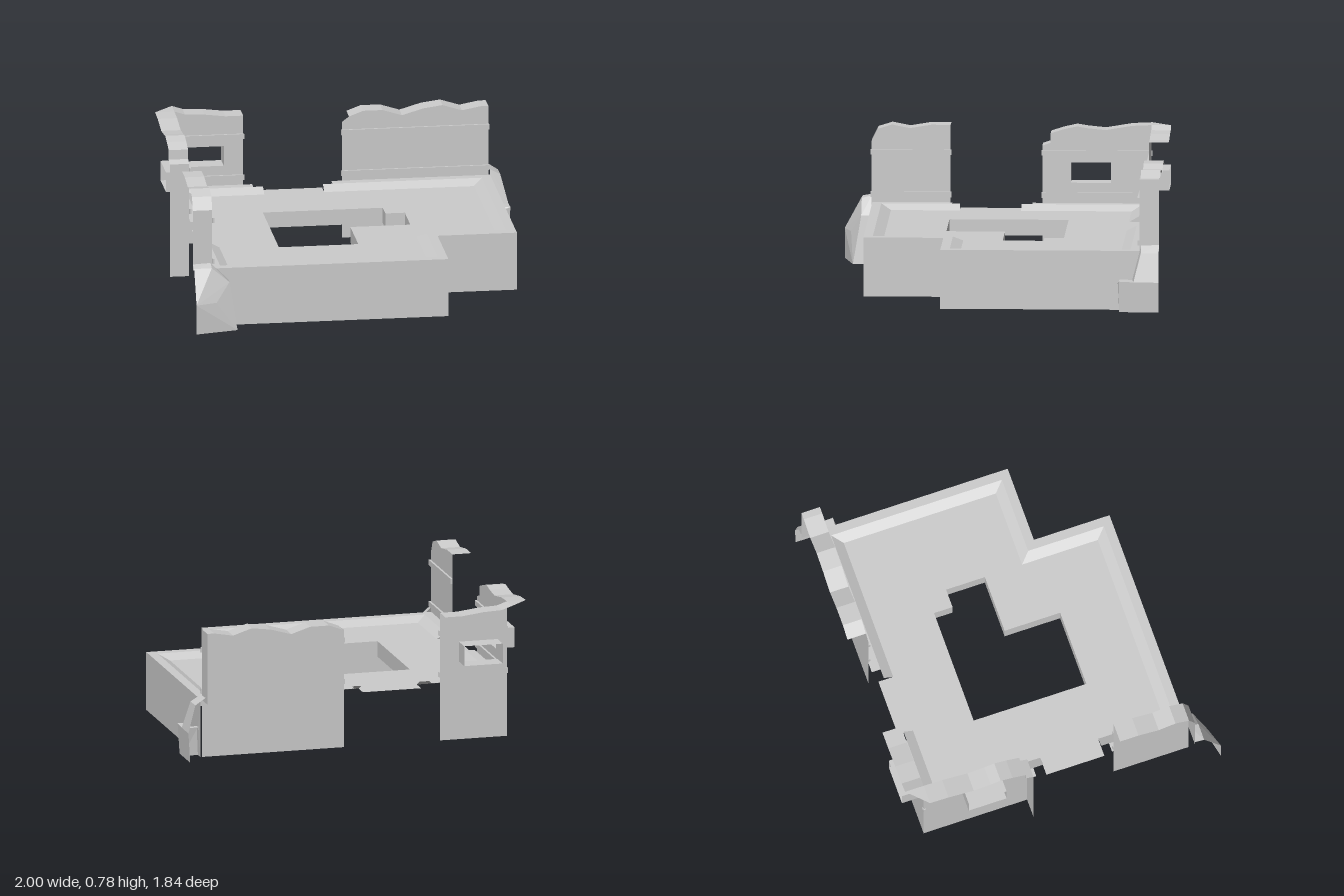
import * as THREE from 'three';
import { ConvexGeometry } from 'three/addons/geometries/ConvexGeometry.js';

const material = new THREE.MeshStandardMaterial({ color: 0xcccccc, flatShading: true, side: THREE.DoubleSide });
const RIM = 0.335, FLOOR = 0.305, THICK = 0.11;

function add(group, name, geometry) {
  const mesh = new THREE.Mesh(geometry, material);
  mesh.name = name;
  group.add(mesh);
  return mesh;
}

// Strip of quads between two lines of [x, y, z] points
function ribbon(a, b) {
  const pos = [];
  for (let i = 0; i + 1 < a.length; i++) {
    pos.push(...a[i], ...b[i], ...b[i + 1], ...a[i], ...b[i + 1], ...a[i + 1]);
  }
  const g = new THREE.BufferGeometry();
  g.setAttribute('position', new THREE.Float32BufferAttribute(pos, 3));
  g.computeVertexNormals();
  return g;
}

const path2 = (pts) => pts.map(([x, y]) => new THREE.Vector2(x, y));
const atHeight = (pts, y) => pts.map(([x, z]) => [x, y, z]);

// Thin ruined wall: inner face at local z = 0, broken top folding back to -THICK
function ruinedWall(name, { tops, window, end, endFrom = 0, capStart = 0 }) {
  const wall = new THREE.Group();
  wall.name = name;
  const u0 = tops[0][0], u1 = tops[tops.length - 1][0];
  const shape = new THREE.Shape(path2([[u0, 0], ...tops, [u1, 0]]));
  if (window) {
    const [a, b] = window, lo = 0.45, hi = 0.565;
    const loop = [[a, lo], [a, hi], [b, hi], [b, lo], [a, lo]];
    shape.holes.push(new THREE.Path(path2(loop.slice(0, 4))));
    add(wall, 'windowReveal', ribbon(loop.map(([u, y]) => [u, y, 0]), loop.map(([u, y]) => [u, y, -THICK])));
  }
  add(wall, 'wallFace', new THREE.ShapeGeometry(shape));
  const cap = tops.slice(capStart);
  add(wall, 'brokenTop', ribbon(cap.map(([u, y]) => [u, y, 0]), cap.map(([u, y]) => [u, y, -THICK])));
  if (end !== undefined) {
    const y = tops.find(([u]) => u === end)[1];
    add(wall, 'wallEnd', ribbon([[end, endFrom, 0], [end, y, 0]], [[end, endFrom, -THICK], [end, y, -THICK]]));
  }
  // Two string courses along the inner face
  for (const y of [0.38, 0.62]) {
    add(wall, 'ledge', new THREE.BoxGeometry(u1 - u0 + 0.01, 0.03, 0.012))
      .position.set((u0 + u1) / 2, y, 0.006);
  }
  return wall;
}

// Convex lump of rubble, left open on the hidden sides
function rubble(points, openSides) {
  const src = new ConvexGeometry(points.map((p) => new THREE.Vector3(...p)));
  const p = src.getAttribute('position'), n = src.getAttribute('normal'), kept = [];
  for (let i = 0; i < p.count; i += 3) {
    const normal = new THREE.Vector3().fromBufferAttribute(n, i);
    if (openSides.some((s) => normal.dot(new THREE.Vector3(...s)) > 0.98)) continue;
    for (let k = i; k < i + 3; k++) kept.push(p.getX(k), p.getY(k), p.getZ(k));
  }
  const g = new THREE.BufferGeometry();
  g.setAttribute('position', new THREE.Float32BufferAttribute(kept, 3));
  g.computeVertexNormals();
  return g;
}

export function createModel() {
  const model = new THREE.Group();
  model.name = 'ruinedBuilding';

  // Outer edge, inset by d, interrupted by the two doorways
  const longEdge = (d, x0, z1) => [[x0, -0.81 + d], [0.9 - d, -0.81 + d], [0.9 - d, 0.31 - d],
    [0.45 - d, 0.31 - d], [0.45 - d, 0.76 - d], [-0.89 + d, 0.76 - d], [-0.89 + d, z1]];
  const cornerEdge = (d, z0, x1) => [[-0.89 + d, z0], [-0.89 + d, -0.81 + d], [x1, -0.81 + d]];
  const A = 0.052, B = 0.108;

  // Raised rim and the slope down to the floor
  const edges = [
    [longEdge, 0, 0.31, -0.055, 0.265],
    [cornerEdge, -0.14, -0.45, -0.08, -0.395],
  ];
  for (const [edge, r0, r1, s0, s1] of edges) {
    add(model, 'floorRim', ribbon(atHeight(edge(0, r0, r1), RIM), atHeight(edge(A, r0, r1), RIM)));
    add(model, 'floorSlope', ribbon(atHeight(edge(A, s0, s1), RIM), atHeight(edge(B, s0, s1), FLOOR)));
  }

  // Floor with doorway tongues and a stepped opening
  const outline = [...longEdge(B, -0.055, 0.265), [-0.89, 0.265], [-0.89, -0.08],
    ...cornerEdge(B, -0.08, -0.395), [-0.395, -0.79], [-0.055, -0.79]];
  const opening = [[-0.45, -0.36], [0.23, -0.36], [0.23, -0.25], [0.34, -0.25],
    [0.34, -0.02], [0, -0.02], [0, 0.31], [-0.45, 0.31]];
  const flip = (pts) => path2(pts.map(([x, z]) => [x, -z]));
  const floor = new THREE.Shape(flip(outline));
  floor.holes.push(new THREE.Path(flip(opening)));
  add(model, 'floor', new THREE.ShapeGeometry(floor).rotateX(-Math.PI / 2).translate(0, FLOOR, 0));
  const loop = [...opening, opening[0]];
  add(model, 'openingSides', ribbon(atHeight(loop, FLOOR), atHeight(loop, FLOOR - 0.09)));

  // Foundation walls around the front and right
  const skirt = longEdge(0, 0, 0).slice(1, 6);
  add(model, 'foundation', ribbon(atHeight(skirt, RIM), atHeight(skirt, 0)));

  // Back walls
  const backs = [
    ruinedWall('backWall', {
      tops: [[0.06, 0.68], [0.1, 0.71], [0.18, 0.74], [0.29, 0.74], [0.4, 0.705], [0.52, 0.74],
        [0.63, 0.755], [0.74, 0.72], [0.85, 0.74], [0.89, 0.74]],
      end: 0.89, endFrom: 0.33, capStart: 1,
    }),
    ruinedWall('backCornerWall', {
      tops: [[-0.89, 0.78], [-0.83, 0.76], [-0.72, 0.755], [-0.6, 0.74], [-0.5, 0.74]],
      window: [-0.835, -0.61],
    }),
  ];
  for (const wall of backs) {
    wall.position.z = -0.81;
    model.add(wall);
  }

  // Side walls, drawn along -z and turned to face inward
  const sides = [
    ruinedWall('sideCornerWall', {
      tops: [[0.195, 0.66], [0.24, 0.675], [0.242, 0.73], [0.32, 0.755], [0.39, 0.77], [0.45, 0.76],
        [0.55, 0.75], [0.7, 0.775], [0.81, 0.78]],
      window: [0.355, 0.58], end: 0.195,
    }),
    ruinedWall('sideFrontWall', {
      tops: [[-0.765, 0.68], [-0.73, 0.75], [-0.65, 0.775], [-0.55, 0.755], [-0.43, 0.775], [-0.32, 0.775]],
      end: -0.765, endFrom: 0.33,
    }),
  ];
  for (const wall of sides) {
    wall.rotation.y = Math.PI / 2;
    wall.position.x = -0.89;
    model.add(wall);
  }

  // Chamfered top where the two corner walls meet
  add(model, 'cornerTop', ribbon([[-0.89, 0.78, -0.81], [-0.89, 0.78, -0.81]],
    [[-0.89, 0.78, -0.92], [-1, 0.78, -0.81]]));

  // Rubble buttresses at the wall ends
  add(model, 'frontRubble', rubble([
    [-1, 0.365, 0.765], [-0.9, 0.37, 0.765], [-1, 0.355, 0.82], [-0.9, 0.355, 0.82],
    [-0.8, 0.27, 0.765], [-0.8, 0.27, 0.82], [-1, 0.17, 0.92], [-0.88, 0.17, 0.88],
    [-1, 0, 0.92], [-0.88, 0, 0.88], [-0.76, 0, 0.865], [-0.76, 0, 0.765], [-1, 0, 0.765],
  ], [[0, -1, 0], [-1, 0, 0], [0, 0, -1]]));
  add(model, 'backRubble', rubble([
    [0.9, 0.37, -0.92], [0.9, 0.365, -0.82], [0.96, 0.33, -0.92], [0.96, 0.33, -0.82],
    [1, 0.17, -0.92], [1, 0.17, -0.78], [0.9, 0.17, -0.77],
    [0.99, 0, -0.92], [0.99, 0, -0.76], [0.9, 0, -0.76], [0.9, 0, -0.92],
  ], [[0, -1, 0], [-1, 0, 0], [0, 0, -1]]));
  add(model, 'smallRubble', rubble([
    [0.91, 0.175, -0.7], [1, 0.175, -0.695], [0.91, 0.17, -0.8], [1, 0.17, -0.8],
    [0.9, 0, -0.7], [0.99, 0, -0.7], [0.9, 0, -0.8], [0.99, 0, -0.8], [0.95, 0.16, -0.69],
  ], [[0, -1, 0], [0, 0, -1]]));

  return model;
}
